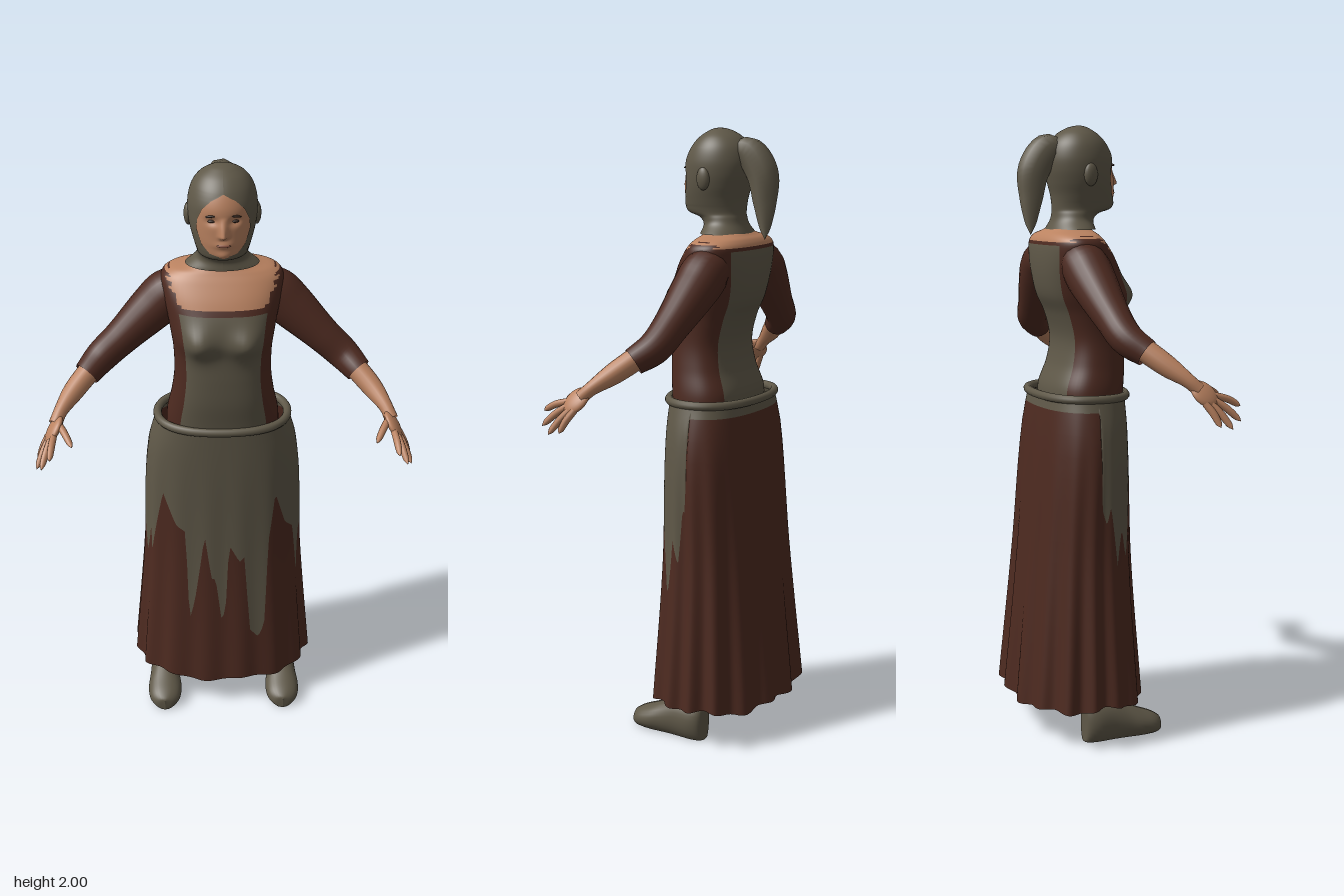
import * as THREE from 'three';

const mat = (name, color) => new THREE.MeshStandardMaterial({ name, color, side: THREE.DoubleSide });

// Interpolates rows of numbers; keys default to the row index
function profile(rows, keys = rows.map((_, i) => i), Type = THREE.CubicInterpolant) {
  const n = rows[0].length;
  const it = new Type(keys, rows.flat(), n, new Array(n));
  return (t) => Array.from(it.evaluate(t));
}

// Grid surface from fn(u, v); wraps in u if closed; pick() gives each cell a material index
function surface(nu, nv, fn, closed = true, pick = null) {
  const cols = closed ? nu : nu + 1, pos = [], cells = [[], []];
  for (let j = 0; j <= nv; j++) for (let i = 0; i < cols; i++) pos.push(...fn(i / nu, j / nv));
  for (let j = 0; j < nv; j++) for (let i = 0; i < nu; i++) {
    const i2 = closed ? (i + 1) % nu : i + 1;
    const a = j * cols + i, b = j * cols + i2, c = b + cols, d = a + cols;
    const mid = [0, 1, 2].map((k) => [a, b, c, d].reduce((s, q) => s + pos[q * 3 + k] / 4, 0));
    const m = pick ? pick(mid, i, j) : 0;
    (cells[m] ||= []).push(a, b, c, a, c, d);
  }
  const g = new THREE.BufferGeometry();
  g.setAttribute('position', new THREE.Float32BufferAttribute(pos, 3));
  g.setIndex(cells.flat());
  let start = 0;
  if (pick) cells.forEach((c, m) => { g.addGroup(start, c.length, m); start += c.length; });
  g.computeVertexNormals();
  return g;
}

// Body cross-section: angle th runs from the front (+z) towards +x
function section(th, y, rx, zf, zb, box = 0) {
  const k = 1 + box * Math.sin(2 * th) ** 2;
  return [rx * Math.sin(th) * k, y, (zf + zb) / 2 + ((zf - zb) / 2) * Math.cos(th) * k];
}

// Tube through points [x, y, z, radius]
function limb(pts, sides = 16, steps = 24) {
  const curve = new THREE.CatmullRomCurve3(pts.map((p) => new THREE.Vector3(p[0], p[1], p[2])));
  const g = new THREE.TubeGeometry(curve, steps, 1, sides), p = g.attributes.position;
  const rad = profile(pts.map((q) => [q[3]])), v = new THREE.Vector3();
  for (let i = 0; i <= steps; i++) {
    const t = curve.getUtoTmapping(i / steps), c = curve.getPoint(t);
    const r = Math.max(0, rad(t * (pts.length - 1))[0]);
    for (let j = 0; j <= sides; j++) {
      const k = i * (sides + 1) + j;
      v.fromBufferAttribute(p, k).sub(c).multiplyScalar(r).add(c);
      p.setXYZ(k, v.x, v.y, v.z);
    }
  }
  return g;
}

export function createModel() {
  const root = new THREE.Group();
  const cloth = mat('greyGreenCloth', 0x5f5848), brown = mat('brownWool', 0x4d2a20);
  const skin = mat('skin', 0xba8260), dark = mat('darkEyes', 0x35251d), lip = mat('lips', 0x8c5543);
  const add = (parent, name, geo, material) => {
    const m = new THREE.Mesh(geo, material);
    m.name = name;
    parent.add(m);
    return m;
  };
  const blob = (parent, name, material, p, s) => {
    const m = add(parent, name, new THREE.SphereGeometry(1, 20, 14), material);
    m.position.set(...p);
    m.scale.set(...s);
    return m;
  };
  const TAU = Math.PI * 2, gauss = (d, w) => Math.exp(-((d / w) ** 2));

  // Skirt: folds widen to the hem; the apron above has a ragged lower edge
  const skirtRow = profile([[.312, .148, -.265], [.272, .115, -.222], [.247, .103, -.185], [.222, .1, -.172]], [.12, .6, 1.04, 1.13]);
  const skirtPoint = (th, y, s = 1) => {
    const [rx, zf, zb] = skirtRow(y);
    const t = Math.max(0, (1.08 - y) / .96), f = s * (1 - .035 * t * Math.cos(16 * th) * (1 - .4 * Math.cos(th)));
    const p = section(th, y, rx * f, zf, zb, .06);
    p[2] = -.05 + (p[2] + .05) * f;
    return p;
  };
  const edge = [[-3.2, 1.1], [-1.66, 1.1], [-1.6, .79], [-1.5, .74], [-1.42, .8], [-1.25, .6], [-1.12, .72], [-1.04, .62],
    [-.82, .88], [-.6, .76], [-.49, .74], [-.42, .37], [-.36, .45], [-.24, .73], [-.15, .55], [-.1, .55], [-.02, .36],
    [.03, .45], [.07, .69], [.2, .62], [.27, .64], [.31, .33], [.42, .29], [.49, .34], [.58, .7], [.68, .88], [.85, .75],
    [1, .72], [1.15, .5], [1.3, .7], [1.45, .62], [1.55, .8], [1.62, .8], [1.68, 1.1], [3.2, 1.1]];
  const apronEdge = profile(edge.map((e) => [e[1]]), edge.map((e) => e[0]), THREE.LinearInterpolant);
  add(root, 'skirtAndApron', surface(216, 26, (u, v) => {
    const th = u * TAU - Math.PI, b = apronEdge(th)[0], j = v * 26;
    const hem = .125 + .012 * Math.cos(2 * th) * -1 + .006 * Math.sin(7 * th);
    return skirtPoint(th, j <= 14 ? hem + (b - hem) * j / 14 : b + (1.13 - b) * (j - 14) / 12);
  }, true, (m, i, j) => (j < 14 ? 0 : 1)), [brown, cloth]);
  add(root, 'underskirt', surface(96, 6, (u, v) => skirtPoint(u * TAU, .17 + .4 * v, .86)), cloth);

  // Rolled belt
  const loop = Array.from({ length: 24 }, (_, i) => new THREE.Vector3(...section(i / 24 * TAU, 1.14, .215, .108, -.175, .05)));
  add(root, 'belt', new THREE.TubeGeometry(new THREE.CatmullRomCurve3(loop, true), 96, .014, 10, true), cloth);

  // Bodice with front and back panels and bare neckline
  const torso = profile([[1.08, .185, .098, -.14], [1.16, .183, .103, -.14], [1.24, .167, .11, -.112], [1.32, .156, .11, -.102],
    [1.4, .157, .108, -.122], [1.46, .165, .116, -.15], [1.52, .176, .1, -.163], [1.58, .19, .07, -.167],
    [1.63, .192, .035, -.163], [1.655, .165, .015, -.15], [1.67, .11, .005, -.13], [1.69, .062, .0, -.11], [1.75, .056, .0, -.1]]);
  add(root, 'bodice', surface(72, 84, (u, v) => {
    const th = (u - .5) * TAU, p = section(th, ...torso(v * 12), .07);
    if (p[2] > 0) p[2] += .028 * gauss(Math.abs(p[0]) - .08, .045) * gauss(p[1] - 1.46, .05);
    return p;
  }, true, ([x, y, z], i, j) => {
    const ax = Math.abs(x), fromFront = Math.abs(i + .5 - 36), front = z > -.06;
    const neck = .13 + .04 * Math.min(1, Math.max(0, (y - 1.56) / .08)) + (j % 4 < 2 ? .008 : -.006);
    if (y > (front ? 1.565 : 1.636) && ax < neck) return 2;
    if (fromFront < 9 && y < 1.55) return 1;
    return fromFront > 28 && y < 1.625 ? 1 : 0;
  }), [brown, cloth, skin]);

  // Arms
  for (const side of [1, -1]) {
    const arm = new THREE.Group();
    arm.name = side > 0 ? 'leftArm' : 'rightArm';
    arm.scale.x = side;
    root.add(arm);
    add(arm, 'sleeve', limb([[.12, 1.575, -.075, .06], [.165, 1.56, -.074, .076], [.215, 1.515, -.068, .075], [.32, 1.415, -.05, .058],
      [.39, 1.352, -.032, .052], [.438, 1.312, .012, .043]], 20, 32), brown);
    add(arm, 'forearm', limb([[.4, 1.345, -.015, .034], [.43, 1.32, .01, .036], [.48, 1.275, .06, .033], [.52, 1.232, .112, .022],
      [.535, 1.205, .14, .022]]), skin);
    const palm = blob(arm, 'palm', skin, [.54, 1.193, .155], [1, 1, 1]);
    const d = new THREE.Vector3(.41, -.67, .62).normalize(), s = new THREE.Vector3(.43, -.456, -.777);
    s.addScaledVector(d, -s.dot(d)).normalize();
    palm.quaternion.setFromRotationMatrix(new THREE.Matrix4().makeBasis(d, s, d.clone().cross(s)));
    palm.scale.set(.05, .039, .016);
    const fingers = [[[.54, 1.183, .196], [.548, 1.15, .276]], [[.548, 1.174, .181], [.578, 1.108, .262]],
      [[.556, 1.165, .166], [.596, 1.088, .225]], [[.564, 1.158, .153], [.592, 1.096, .186]], [[.525, 1.21, .15], [.478, 1.175, .24]]];
    fingers.forEach(([a, b], i) => {
      const at = (t, lift) => a.map((q, k) => q + (b[k] - q) * t + (k === 1 ? lift : 0));
      add(arm, i < 4 ? 'finger' : 'thumb', limb([[...at(-.15, 0), .011], [...at(.45, .006), .0115], [...at(.85, .002), .009],
        [...at(1, 0), 0]], 10, 14), skin);
    });
  }

  // Head and hood share one profile; the hood leaves a pointed face opening
  const headRow = profile([[1.672, .116, .022, -.128], [1.7, .085, .02, -.116], [1.722, .078, .04, -.112], [1.74, .08, .088, -.112],
    [1.78, .091, .097, -.116], [1.82, .101, .096, -.126], [1.86, .106, .093, -.134], [1.9, .105, .087, -.134],
    [1.94, .094, .068, -.122], [1.97, .073, .042, -.098], [1.99, .044, .012, -.066], [1.998, .02, -.008, -.04], [2, 0, -.022, -.022]]);
  const opening = profile([[0], [.04], [.066], [.08], [.078], [.063], [.038], [0]],
    [1.75, 1.757, 1.785, 1.83, 1.86, 1.895, 1.92, 1.94], THREE.LinearInterpolant);
  add(root, 'hood', surface(72, 96, (u, v) => {
    const row = headRow(v * 12), gap = row[1] > 0 ? opening(row[0])[0] : 0;
    const phi = Math.asin(Math.min(.95, gap / Math.max(row[1], .001)));
    return section(phi + u * (TAU - 2 * phi), ...row);
  }, false), cloth);
  add(root, 'head', surface(128, 64, (u, v) => {
    const [y, rx, zf, zb] = headRow(2.5 + v * 6.5), th = u * TAU;
    const p = section(th, y, rx * .96, zf - .003, zb + .006);
    if (Math.cos(th) > 0) {
      const x = Math.abs(p[0]);
      const nose = y > 1.818 ? Math.max(0, 1 - (y - 1.818) / .055) : Math.max(0, 1 - (1.818 - y) / .012);
      p[2] += .022 * nose * gauss(x, .012) - .009 * gauss(x - .034, .018) * gauss(y - 1.86, .012)
        + .005 * gauss(x, .025) * gauss(y - 1.788, .01) + .005 * gauss(x, .02) * gauss(y - 1.755, .012);
    }
    return p;
  }), skin);
  for (const s of [1, -1]) {
    blob(root, 'eye', dark, [s * .034, 1.859, .073], [.013, .005, .007]);
    blob(root, 'eyebrow', dark, [s * .035, 1.877, .079], [.019, .0035, .006]).rotation.z = -s * .12;
    blob(root, 'hoodEar', cloth, [s * .104, 1.845, -.025], [.014, .036, .023]);
  }
  blob(root, 'mouth', lip, [0, 1.788, .093], [.022, .006, .0075]);

  // Hanging point of the hood
  add(root, 'hoodTail', limb([[0, 1.93, -.09, .03], [0, 1.925, -.13, .05], [0, 1.86, -.178, .052], [0, 1.77, -.188, .038],
    [0, 1.69, -.19, .018], [0, 1.655, -.19, 0]], 9, 24), cloth);

  // Shoes and lower legs: rows of z, half width, height
  const shoeRow = profile([[-.1, 0, .12], [-.094, .034, .128], [-.06, .05, .132], [0, .05, .128], [.05, .054, .108],
    [.1, .06, .085], [.145, .054, .066], [.172, .032, .05], [.18, 0, .04]]);
  for (const s of [1, -1]) {
    const shoe = add(root, 'shoe', surface(28, 40, (u, v) => {
      const [z, w, h] = shoeRow(v * 8), a = u * TAU;
      return [Math.max(0, w) * Math.cos(a), h * Math.min(1, Math.max(0, .45 + .56 * Math.sin(a))), z];
    }), cloth);
    shoe.position.x = s * .214;
    const leg = add(root, 'lowerLeg', new THREE.CylinderGeometry(.055, .045, .5, 16), cloth);
    leg.position.set(s * .2, .35, -.045);
  }
  return root;
}
